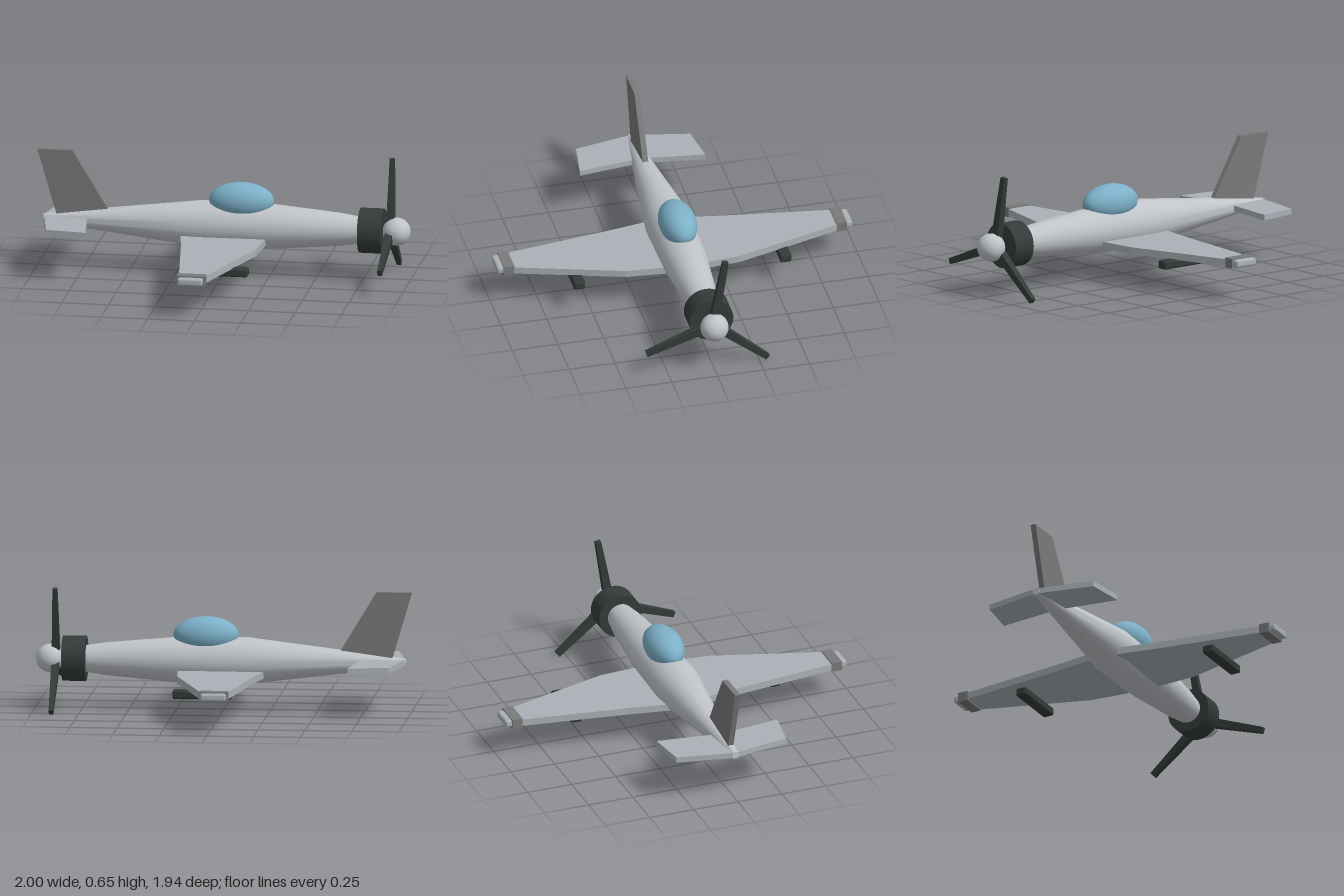
import * as THREE from 'three';
import { RoundedBoxGeometry } from 'three/addons/geometries/RoundedBoxGeometry.js';
import { toCreasedNormals } from 'three/addons/utils/BufferGeometryUtils.js';

const AXIS_Y = 0.39; // height of the fuselage axis

const mat = (name, color) => {
  const m = new THREE.MeshStandardMaterial({ color });
  m.name = name;
  return m;
};

function addMesh(parent, name, geometry, material, x = 0, y = 0, z = 0) {
  const mesh = new THREE.Mesh(geometry, material);
  mesh.name = name;
  mesh.position.set(x, y, z);
  parent.add(mesh);
  return mesh;
}

// Flat plate cut from an outline and centred on its thickness
function plate(points, thickness) {
  const shape = new THREE.Shape(points.map(([x, y]) => new THREE.Vector2(x, y)));
  const geo = new THREE.ExtrudeGeometry(shape, { depth: thickness, bevelEnabled: false });
  return geo.translate(0, 0, -thickness / 2);
}

// Horizontal surface from half of its outline [x, span], mirrored across the axis
function mirroredPlate(half, thickness) {
  const other = half.map(([x, z]) => [x, -z]).reverse();
  return plate([...half, ...other], thickness).rotateX(-Math.PI / 2);
}

// Tapered propeller blade growing upwards from the hub
function bladeGeometry(length) {
  const geo = new THREE.BoxGeometry(0.045, length, 0.048).translate(0, length / 2, 0);
  const p = geo.attributes.position;
  for (let i = 0; i < p.count; i++) {
    if (p.getY(i) > length / 2) {
      p.setX(i, p.getX(i) * 0.55);
      p.setZ(i, p.getZ(i) * 0.65);
    }
  }
  geo.computeVertexNormals();
  return geo;
}

export function createModel() {
  const plane = new THREE.Group();
  plane.name = 'propellerPlane';

  const hull = mat('hull silver', 0xc0c4c9);
  const wing = mat('wing grey', 0xaab1b6);
  const trim = mat('trim grey', 0x7a7a7a);
  const dark = mat('dark metal', 0x343b39);
  const glass = mat('canopy blue', 0x7cb0c8);

  // Fuselage, turned around the x axis
  const profile = [
    [0, -0.967], [0.02, -0.967], [0.063, -0.63], [0.125, -0.12],
    [0.118, 0.28], [0.088, 0.62], [0.07, 0.74], [0, 0.74],
  ].map(([r, x]) => new THREE.Vector2(r, x));
  const body = toCreasedNormals(new THREE.LatheGeometry(profile, 40), 0.6);
  addMesh(plane, 'fuselage', body.rotateZ(-Math.PI / 2), hull, 0, AXIS_Y);

  // Engine cowl and spinner
  const cowl = new THREE.CylinderGeometry(0.12, 0.12, 0.125, 32).rotateZ(-Math.PI / 2);
  addMesh(plane, 'engineCowl', cowl, dark, 0.793, AXIS_Y);
  addMesh(plane, 'spinner', new THREE.SphereGeometry(0.075, 32, 20), hull, 0.925, AXIS_Y);

  // Three propeller blades
  const propeller = new THREE.Group();
  propeller.name = 'propeller';
  propeller.position.set(0.892, AXIS_Y, 0);
  for (let i = 0; i < 3; i++) {
    const blade = addMesh(propeller, 'propellerBlade', bladeGeometry(0.388), dark);
    blade.rotation.x = THREE.MathUtils.degToRad(50 + 120 * i);
  }
  propeller.rotation.x = Math.PI + THREE.MathUtils.degToRad(120);
  plane.add(propeller);

  // Canopy
  const canopy = new THREE.SphereGeometry(1, 40, 24).scale(0.174, 0.099, 0.099);
  addMesh(plane, 'canopy', canopy, glass, 0.094, 0.525);

  // Main wing
  const wingHalf = [
    [0.24, 0], [0.237, 0.1], [0.22, 0.31], [0.043, 0.89], [-0.1, 0.89], [-0.182, 0.31], [-0.235, 0],
  ];
  addMesh(plane, 'mainWing', mirroredPlate(wingHalf, 0.038), wing, 0, 0.327);

  // Tailplane
  const tailHalf = [[-0.735, 0], [-0.69, 0.342], [-0.905, 0.312], [-0.967, 0]];
  addMesh(plane, 'tailplane', mirroredPlate(tailHalf, 0.03), wing, 0, AXIS_Y);

  // Tail fin
  const fin = plate([[-0.89, 0.39], [-0.585, 0.39], [-0.812, 0.765], [-1, 0.765]], 0.03);
  addMesh(plane, 'tailFin', fin, trim);

  for (const side of [1, -1]) {
    // Wing tip with its band
    const tip = new RoundedBoxGeometry(0.135, 0.04, 0.1, 2, 0.012);
    addMesh(plane, 'wingTip', tip, wing, -0.03, 0.328, side * 0.918);
    const band = new THREE.BoxGeometry(0.152, 0.052, 0.058);
    addMesh(plane, 'wingTipBand', band, trim, -0.03, 0.328, side * 0.906);

    // Gun pod under the wing
    const pod = new RoundedBoxGeometry(0.315, 0.046, 0.062, 3, 0.011);
    addMesh(plane, 'gunPod', pod, dark, 0.062, 0.288, side * 0.562);
  }

  return plane;
}
